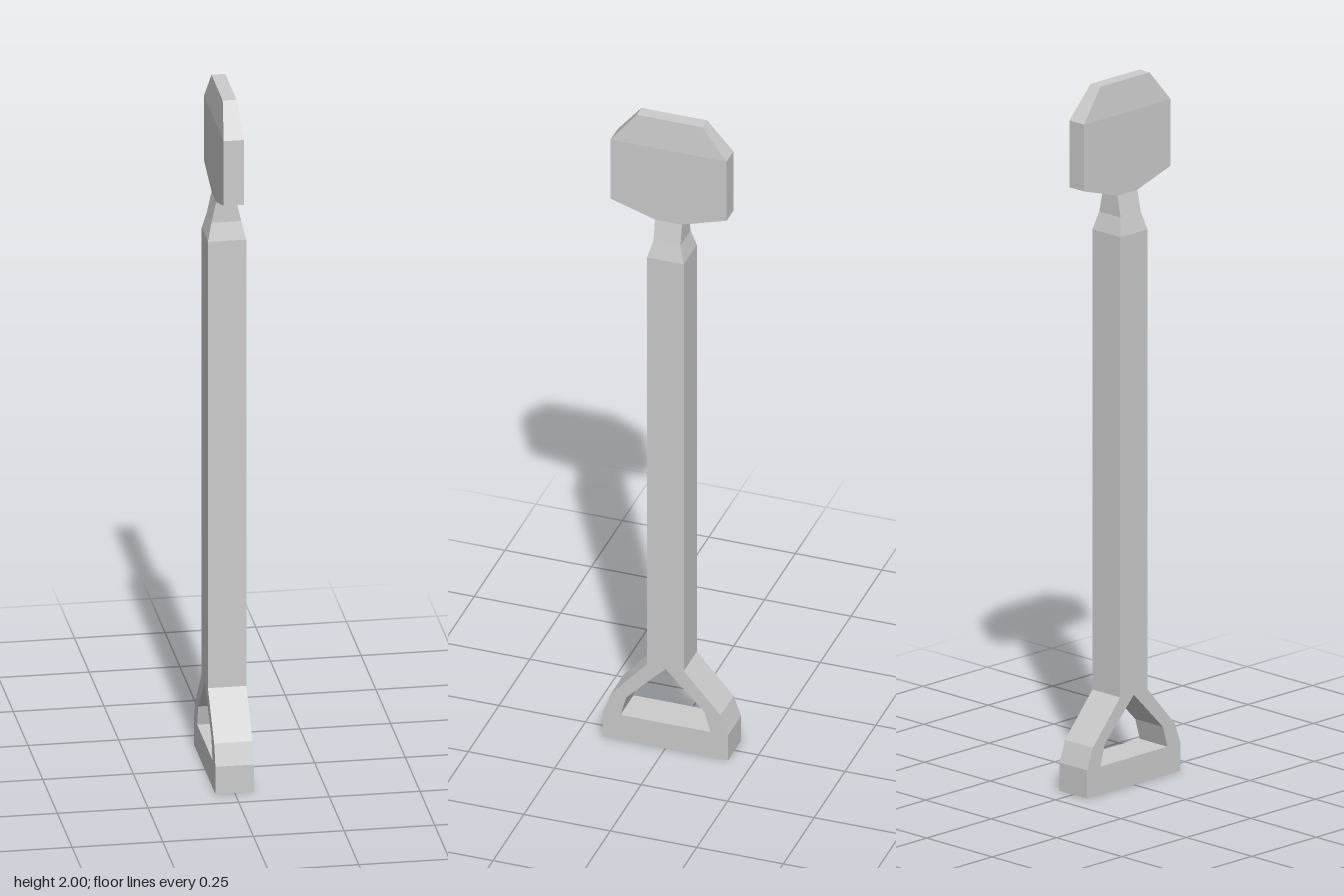
import * as THREE from 'three';

const material = new THREE.MeshStandardMaterial({ color: 0xcccccc, flatShading: true, side: THREE.DoubleSide });

// Lofts rectangular sections [y, halfX, halfZ] from bottom to top; optionally closes the top.
function loft(sections, capTop = false) {
  const positions = [];
  const index = [];
  for (const [y, x, z] of sections) {
    positions.push(x, y, z, x, y, -z, -x, y, -z, -x, y, z);
  }
  for (let s = 0; s < sections.length - 1; s++) {
    for (let i = 0; i < 4; i++) {
      const a = s * 4 + i;
      const b = s * 4 + (i + 1) % 4;
      index.push(a, b, b + 4, a, b + 4, a + 4);
    }
  }
  if (capTop) {
    const t = (sections.length - 1) * 4;
    index.push(t, t + 1, t + 2, t, t + 2, t + 3);
  }
  const indexed = new THREE.BufferGeometry();
  indexed.setAttribute('position', new THREE.Float32BufferAttribute(positions, 3));
  indexed.setIndex(index);
  const geometry = indexed.toNonIndexed();
  geometry.computeVertexNormals();
  return geometry;
}

// Mirrors a half outline of [z, y] points into a full loop.
function mirrored(half) {
  const other = half.filter(([z]) => z > 0).reverse().map(([z, y]) => [-z, y]);
  return [...half, ...other].map(([z, y]) => new THREE.Vector2(z, y));
}

export function createModel() {
  const group = new THREE.Group();
  const add = (name, geometry) => {
    const mesh = new THREE.Mesh(geometry, material);
    mesh.name = name;
    group.add(mesh);
  };

  // D-shaped grip with a pentagonal opening
  const grip = new THREE.Shape(mirrored([[0.181, 0], [0.181, 0.08], [0.159, 0.14], [0.053, 0.26]]));
  grip.holes.push(new THREE.Path(mirrored([[0.13, 0.08], [0.113, 0.14], [0, 0.256]])));
  const gripGeometry = new THREE.ExtrudeGeometry(grip, { depth: 0.106, bevelEnabled: false });
  gripGeometry.translate(0, 0, -0.053).rotateY(Math.PI / 2);
  add('grip', gripGeometry);

  // Square shaft, chamfered neck and flat blade share their end sections
  const shaftTop = [1.57, 0.053, 0.053];
  const neckTop = [1.68, 0.028, 0.039];
  add('shaft', loft([[0.26, 0.053, 0.053], shaftTop]));
  add('neck', loft([shaftTop, [1.62, 0.041, 0.039], neckTop]));
  add('blade', loft([neckTop, [1.72, 0.028, 0.168], [1.91, 0.028, 0.168], [2, 0.019, 0.095]], true));

  return group;
}
